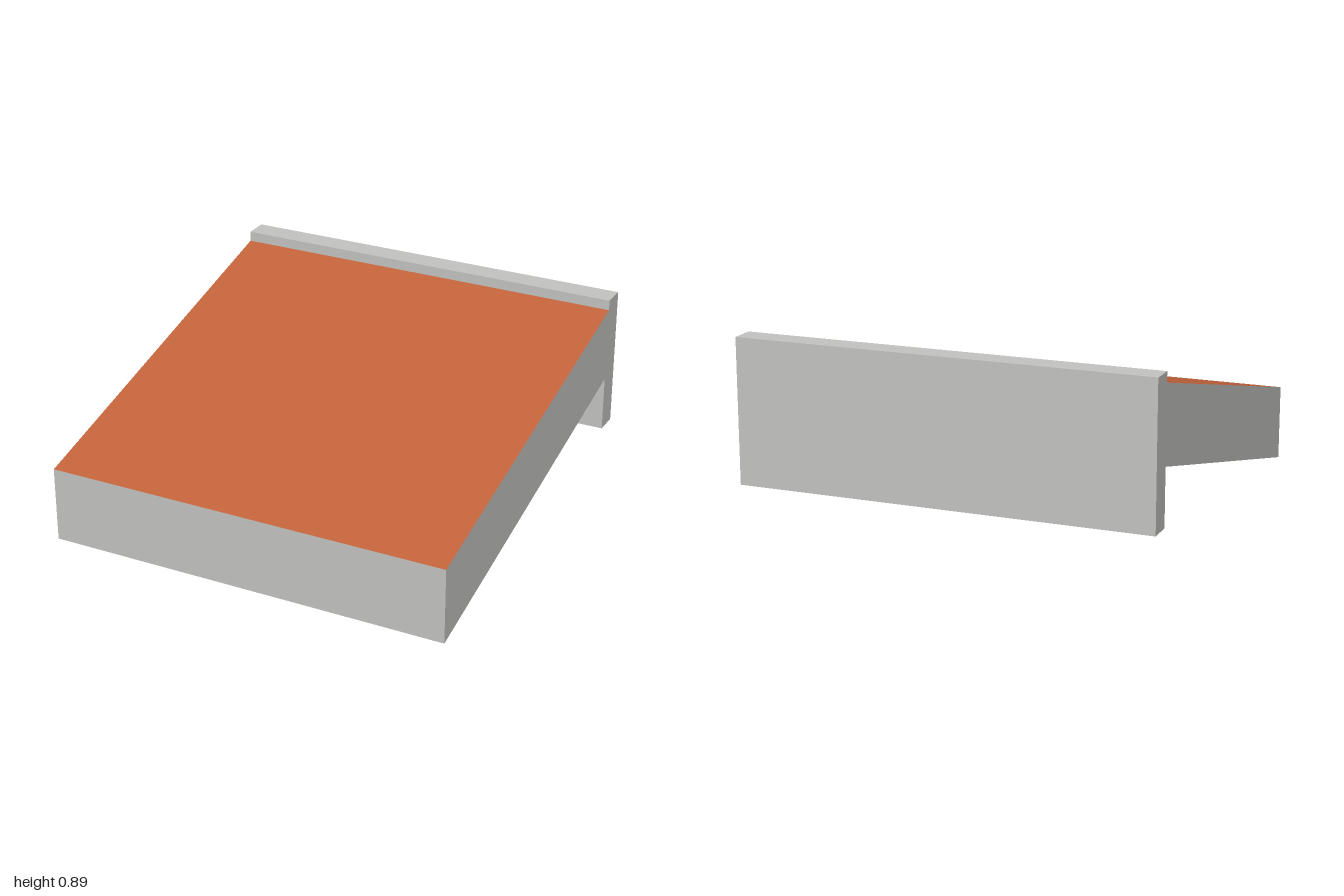
import * as THREE from 'three';

const concrete = new THREE.MeshStandardMaterial({ name: 'concrete grey', color: 0xc4c4c2 });
const tile = new THREE.MeshStandardMaterial({ name: 'terracotta', color: 0xc2633a });

const WIDTH = 2;
const BACK = -1, JOINT = -0.88, FRONT = 1; // z positions
const SLOPE = 0.25, THICKNESS = 0.37;

// Sloping slab: a box sheared along z, with only its top face coloured
function createSlab() {
  const length = FRONT - JOINT;
  const geometry = new THREE.BoxGeometry(WIDTH, THICKNESS, length);
  geometry.translate(0, THICKNESS / 2, (FRONT + JOINT) / 2);
  const pos = geometry.attributes.position;
  for (let i = 0; i < pos.count; i++) {
    pos.setY(i, pos.getY(i) + (FRONT - pos.getZ(i)) * SLOPE);
  }
  geometry.computeVertexNormals();
  // face order: right, left, top, bottom, front, back
  const slab = new THREE.Mesh(geometry, [concrete, concrete, tile, concrete, concrete, concrete]);
  slab.name = 'slopingSlab';
  return slab;
}

// Upright wall along the high edge
function createBackWall() {
  const bottom = 0.195, top = 0.89;
  const wall = new THREE.Mesh(new THREE.BoxGeometry(WIDTH, top - bottom, JOINT - BACK), concrete);
  wall.position.set(0, (top + bottom) / 2, (JOINT + BACK) / 2);
  wall.name = 'backWall';
  return wall;
}

export function createModel() {
  const model = new THREE.Group();
  model.name = 'slopedRoof';
  model.add(createSlab(), createBackWall());
  return model;
}
